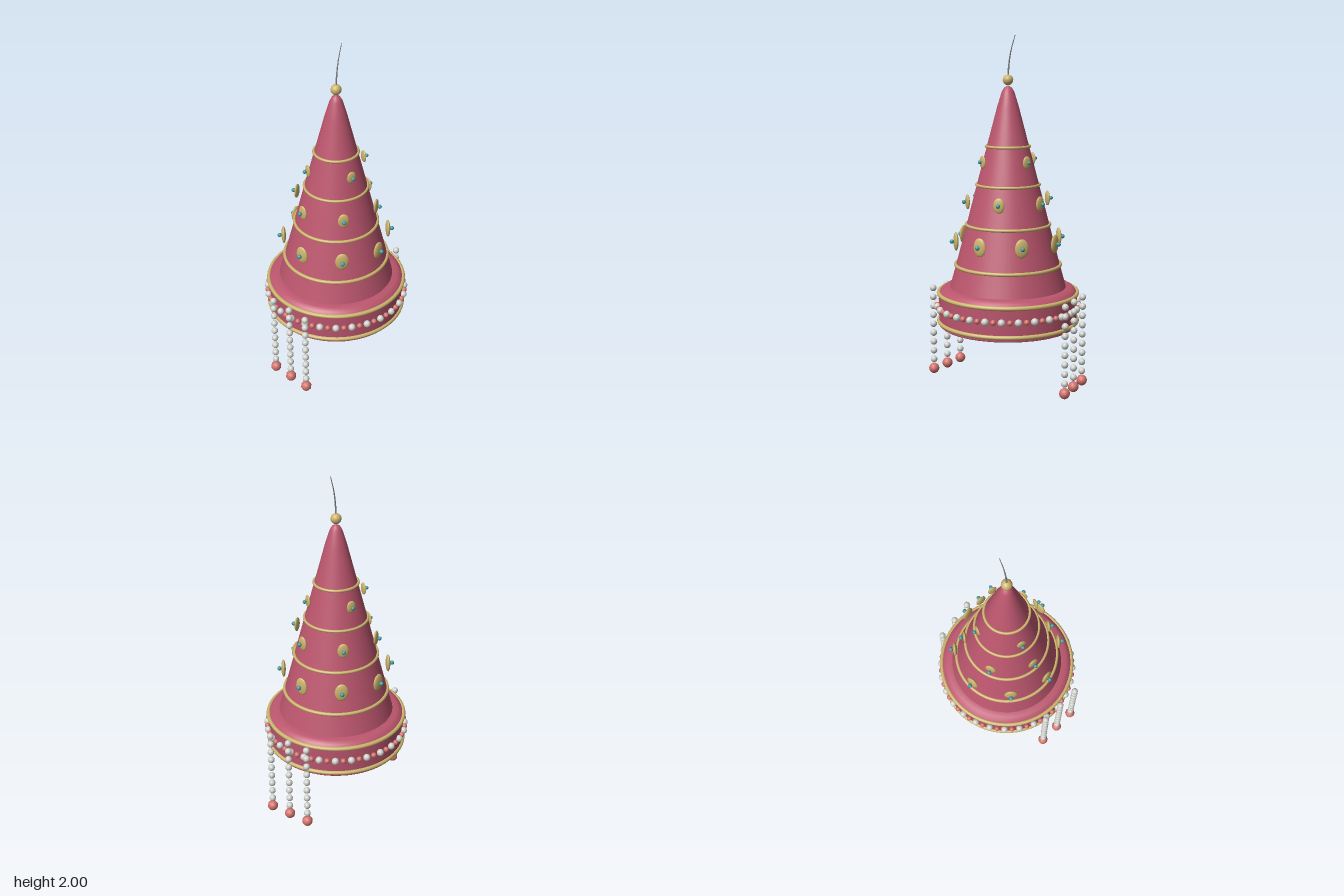
import * as THREE from 'three';

const material = (name, color) => {
  const m = new THREE.MeshStandardMaterial({ color });
  m.name = name;
  return m;
};

export function createModel() {
  const rose = material('rose cloth', 0xbc566e);
  const gold = material('gold', 0xcdb56e);
  const pearl = material('pearl', 0xd2d2cd);
  const coral = material('coral', 0xd4736c);
  const teal = material('teal gem', 0x3c9ca0);
  const grey = material('grey wire', 0x85878a);

  const root = new THREE.Group();
  root.name = 'ornateConeHat';
  const add = (parent, name, geometry, mat, x = 0, y = 0, z = 0) => {
    const mesh = new THREE.Mesh(geometry, mat);
    mesh.name = name;
    mesh.position.set(x, y, z);
    parent.add(mesh);
    return mesh;
  };
  const group = (name, parent = root) => {
    const g = new THREE.Group();
    g.name = name;
    parent.add(g);
    return g;
  };
  const lathe = (points) =>
    new THREE.LatheGeometry(points.map(([r, y]) => new THREE.Vector2(r, y)), 64);

  // Tall cone with a rounded tip
  add(root, 'cone', lathe([
    [0.336, 0.565], [0.3, 0.695], [0.238, 0.93], [0.178, 1.16], [0.12, 1.38],
    [0.062, 1.6], [0.036, 1.685], [0.022, 1.71], [0, 1.722],
  ]), rose);

  // Brim: bevelled top, straight wall and closed underside
  add(root, 'brimTop', lathe([[0.4, 0.535], [0.386, 0.555], [0.365, 0.568], [0.33, 0.57]]), rose);
  add(root, 'brimWall', lathe([[0.393, 0.345], [0.4, 0.352], [0.4, 0.535]]), rose);
  const underside = add(root, 'underside', new THREE.CircleGeometry(0.393, 64), rose, 0, 0.345);
  underside.rotation.x = Math.PI / 2;

  // Gold trim rings on brim and cone: radius, height, thickness
  const rings = group('goldRings');
  for (const [r, y, tube] of [
    [0.401, 0.535, 0.012], [0.401, 0.372, 0.012],
    [0.302, 0.7, 0.01], [0.24, 0.933, 0.009], [0.18, 1.162, 0.008], [0.124, 1.38, 0.008],
  ]) {
    const ring = add(rings, 'goldRing', new THREE.TorusGeometry(r, tube, 10, 64), gold, 0, y);
    ring.rotation.x = Math.PI / 2;
  }

  // Three rows of oval medallions, each with a small gem
  const ball = new THREE.SphereGeometry(1, 16, 12);
  const rows = [
    { count: 8, y: 0.845, r: 0.305, turn: 0, w: 0.039, h: 0.053, gem: 0.0125 },
    { count: 6, y: 1.072, r: 0.24, turn: 0.2, w: 0.032, h: 0.043, gem: 0.0115 },
    { count: 4, y: 1.3, r: 0.176, turn: 0.4, w: 0.027, h: 0.036, gem: 0.0105 },
  ];
  for (const row of rows) {
    const medallions = group('medallionRow');
    for (let i = 0; i < row.count; i++) {
      const a = row.turn + (i / row.count) * Math.PI * 2;
      const m = group('medallion', medallions);
      m.position.set(Math.cos(a) * row.r, row.y, Math.sin(a) * row.r);
      m.rotation.y = Math.PI / 2 - a;
      add(m, 'goldOval', ball, gold).scale.set(row.w, row.h, row.w / 3);
      add(m, 'gem', ball, teal, 0, 0, row.w * 0.3 + 0.012).scale.setScalar(row.gem);
    }
  }

  // Alternating pearl and coral beads around the brim
  const bead = new THREE.SphereGeometry(1, 10, 8);
  const beads = group('brimBeads');
  for (let i = 0; i < 56; i++) {
    const a = (i / 56) * Math.PI * 2;
    const isPearl = i % 2 === 0;
    add(beads, isPearl ? 'pearlBead' : 'coralBead', bead, isPearl ? pearl : coral,
      Math.cos(a) * 0.41, 0.458, Math.sin(a) * 0.41).scale.setScalar(isPearl ? 0.021 : 0.016);
  }

  // Three hanging pearl strands on each side, ending in coral drops
  for (const side of [-1, 1]) {
    for (let k = -1; k <= 1; k++) {
      const strand = group(side > 0 ? 'leftStrand' : 'rightStrand');
      strand.position.set(side * (0.43 + k * 0.01), 0, k * 0.127);
      for (let i = 0; i < 9; i++) {
        add(strand, 'strandPearl', bead, pearl, 0, 0.527 - i * 0.0547).scale.setScalar(0.02);
      }
      add(strand, 'coralDrop', bead, coral, 0, 0.034).scale.setScalar(0.031);
    }
  }

  // Gold finial with a thin bent wire
  add(root, 'finial', ball, gold, 0, 1.752).scale.setScalar(0.03);
  const bend = new THREE.CatmullRomCurve3([
    new THREE.Vector3(0, 1.77, 0), new THREE.Vector3(0.006, 1.84, 0),
    new THREE.Vector3(0.018, 1.91, 0), new THREE.Vector3(0.046, 2, 0),
  ]);
  const wire = new THREE.TubeGeometry(bend, 16, 0.005, 6);
  const p = wire.attributes.position;
  // Taper the wire toward its free end
  for (let i = 0; i < p.count; i++) {
    const t = Math.floor(i / 7) / 16;
    const c = bend.getPointAt(t);
    const v = new THREE.Vector3().fromBufferAttribute(p, i).sub(c).multiplyScalar(1 - 0.6 * t).add(c);
    p.setXYZ(i, v.x, v.y, v.z);
  }
  add(root, 'wire', wire, grey);

  return root;
}
